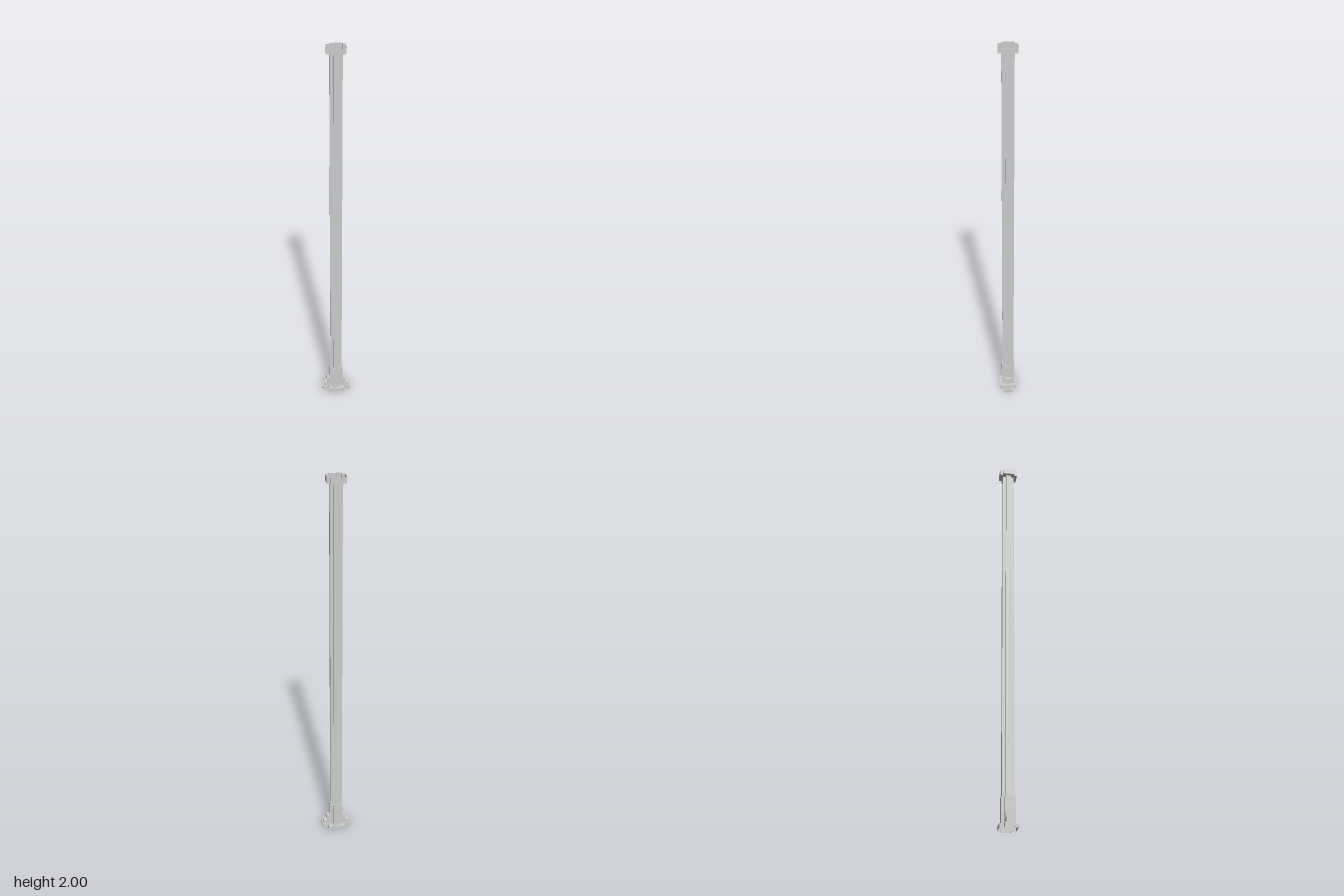
import * as THREE from 'three';

const material = new THREE.MeshStandardMaterial({ color: 0xcccccc, flatShading: true, side: THREE.DoubleSide });

// Outlines in the ground plane, as [x, z] corners
const cross = (r, w) => [[w, r], [w, w], [r, w], [r, -w], [w, -w], [w, -r],
  [-w, -r], [-w, -w], [-r, -w], [-r, w], [-w, w], [-w, r]];
const rect = (x0, x1, d) => [[x0, d], [x1, d], [x1, -d], [x0, -d]];
const toVectors = (pts) => pts.map(([x, z]) => new THREE.Vector2(x, -z));

export function createModel() {
  const model = new THREE.Group();

  const add = (parent, name, geometry) => {
    const mesh = new THREE.Mesh(geometry, material);
    mesh.name = name;
    parent.add(mesh);
  };

  // Upright walls following an outline
  const walls = (parent, name, pts, y0, y1) => {
    const pos = [];
    pts.forEach(([ax, az], i) => {
      const [bx, bz] = pts[(i + 1) % pts.length];
      pos.push(ax, y0, az, bx, y0, bz, bx, y1, bz, ax, y0, az, bx, y1, bz, ax, y1, az);
    });
    const g = new THREE.BufferGeometry();
    g.setAttribute('position', new THREE.Float32BufferAttribute(pos, 3));
    g.computeVertexNormals();
    add(parent, name, g);
  };

  // Flat horizontal face with an optional opening
  const plate = (parent, name, pts, y, hole) => {
    const shape = new THREE.Shape(toVectors(pts));
    if (hole) shape.holes.push(new THREE.Path(toVectors(hole)));
    add(parent, name, new THREE.ShapeGeometry(shape).rotateX(-Math.PI / 2).translate(0, y, 0));
  };

  const group = (name) => {
    const g = new THREE.Group();
    g.name = name;
    model.add(g);
    return g;
  };

  // Hollow cross-shaped shaft
  const bore = cross(0.031, 0.0135);
  walls(model, 'shaft', bore, 0.02, 1.97);

  // Open collar on top
  const cap = group('cap');
  const capOutline = cross(0.047, 0.031);
  plate(cap, 'capShelf', capOutline, 1.97, bore);
  walls(cap, 'capRim', capOutline, 1.97, 2);

  // Sleeve around the lower shaft
  const sleeve = group('sleeve');
  const sleeveOutline = cross(0.035, 0.018);
  walls(sleeve, 'sleeveWalls', sleeveOutline, 0.02, 0.15);
  plate(sleeve, 'sleeveTop', sleeveOutline, 0.15, bore);

  // Square base plate
  const base = group('base');
  const baseOutline = rect(-0.045, 0.045, 0.0455);
  walls(base, 'baseWalls', baseOutline, 0, 0.02);
  plate(base, 'baseTop', baseOutline, 0.02, bore);

  // Stepped feet: reach, half depth, bottom, top
  const steps = [[0.079, 0.024, 0, 0.02], [0.072, 0.018, 0.02, 0.043], [0.052, 0.018, 0.043, 0.073]];
  for (const [side, name] of [[1, 'leftFoot'], [-1, 'rightFoot']]) {
    const foot = group(name);
    for (const [reach, depth, y0, y1] of steps) {
      const inner = y0 === 0 ? 0.045 : 0.035;
      const outline = side > 0 ? rect(inner, reach, depth) : rect(-reach, -inner, depth);
      walls(foot, 'footStepWalls', outline, y0, y1);
      plate(foot, 'footStepTop', outline, y1);
    }
  }
  return model;
}
